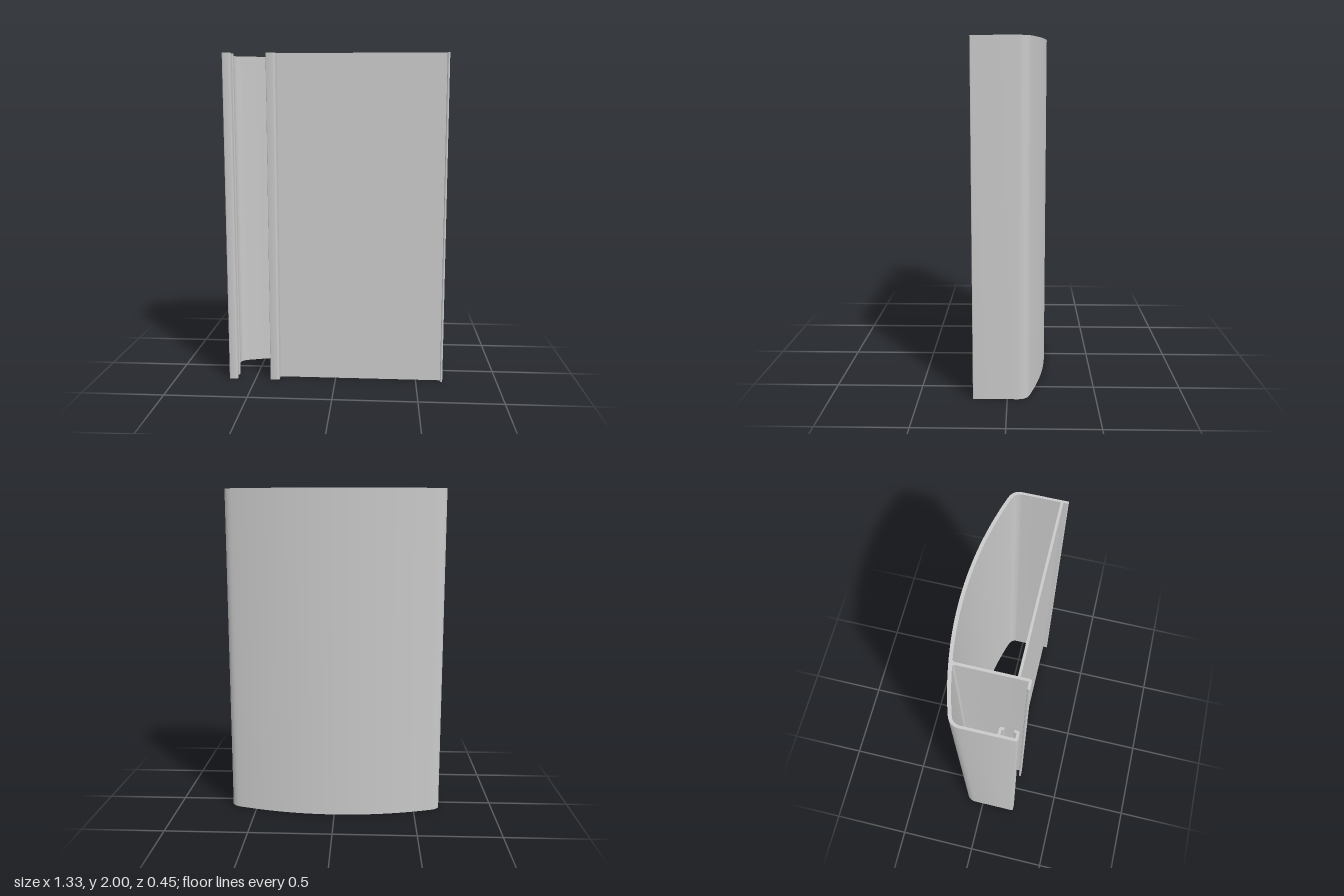
import * as THREE from 'three';
import { toCreasedNormals } from 'three/addons/utils/BufferGeometryUtils.js';

const HEIGHT = 2;

// Shallow bowed back wall, sampled from x0 to x1; crown is its z at x = 0
const bowZ = (x, crown) => crown + (x * x) / 3.82;
function bow(x0, x1, crown, n) {
  return Array.from({ length: n + 1 }, (_, i) => {
    const x = x0 + ((x1 - x0) * i) / n;
    return [x, bowZ(x, crown)];
  });
}

// Closed path through [x, z, radius] corners, rounded where a radius is given
function trace(path, corners) {
  const pts = corners.map(([x, z]) => new THREE.Vector2(x, -z));
  const n = pts.length;
  const toward = (a, b, d) => a.clone().add(b.clone().sub(a).setLength(d));
  pts.forEach((p, i) => {
    const r = corners[i][2] || 0;
    const a = r ? toward(p, pts[(i + n - 1) % n], r) : p;
    if (i === 0) path.moveTo(a.x, a.y);
    else path.lineTo(a.x, a.y);
    if (r) {
      const b = toward(p, pts[(i + 1) % n], r);
      path.quadraticCurveTo(p.x, p.y, b.x, b.y);
    }
  });
  path.closePath();
  return path;
}

export function createModel() {
  const aluminium = new THREE.MeshStandardMaterial({ color: 0xcacaca });
  aluminium.name = 'aluminium grey';

  const outer = -0.224, inner = -0.204;
  const tip = 0.005; // rounding of the free ends

  const section = trace(new THREE.Shape(), [
    // outer skin: side wall, bowed back, other side wall
    [-0.665, 0.224, 0.012], [-0.665, -0.107, 0.05],
    ...bow(-0.6, 0.6, outer, 32),
    [0.665, -0.107, 0.05], [0.665, 0.194, tip], [0.652, 0.194, tip], [0.652, 0.166],
    // front plate and foot of the divider
    [-0.349, 0.166], [-0.349, 0.224, 0.014], [-0.405, 0.224, tip], [-0.405, 0.21, tip],
    [-0.364, 0.21],
    // divider and inside of the open channel
    [-0.364, bowZ(-0.364, inner), 0.014],
    ...bow(-0.39, -0.6, inner, 6),
    [-0.651, -0.092, 0.04],
    // pair of hooked lips
    [-0.651, 0.125], [-0.612, 0.125, 0.012], [-0.612, 0.151, tip], [-0.625, 0.151, tip],
    [-0.625, 0.138], [-0.651, 0.138], [-0.651, 0.21], [-0.625, 0.21],
    [-0.625, 0.197, tip], [-0.612, 0.197, tip], [-0.612, 0.224, 0.012],
  ]);

  // closed chamber, wound against the outline so its walls face inwards
  section.holes.push(trace(new THREE.Path(), [
    [-0.349, 0.152], [0.651, 0.152], [0.651, -0.092, 0.04],
    ...bow(0.6, -0.325, inner, 26),
    [-0.349, bowZ(-0.349, inner), 0.014],
  ]));

  // extrude upwards
  const geometry = new THREE.ExtrudeGeometry(section, {
    depth: HEIGHT, bevelEnabled: false, curveSegments: 8,
  });
  geometry.rotateX(-Math.PI / 2);

  const profile = new THREE.Mesh(toCreasedNormals(geometry, 0.5), aluminium);
  profile.name = 'extrudedProfile';

  const group = new THREE.Group();
  group.name = 'bowedProfile';
  group.add(profile);
  return group;
}
